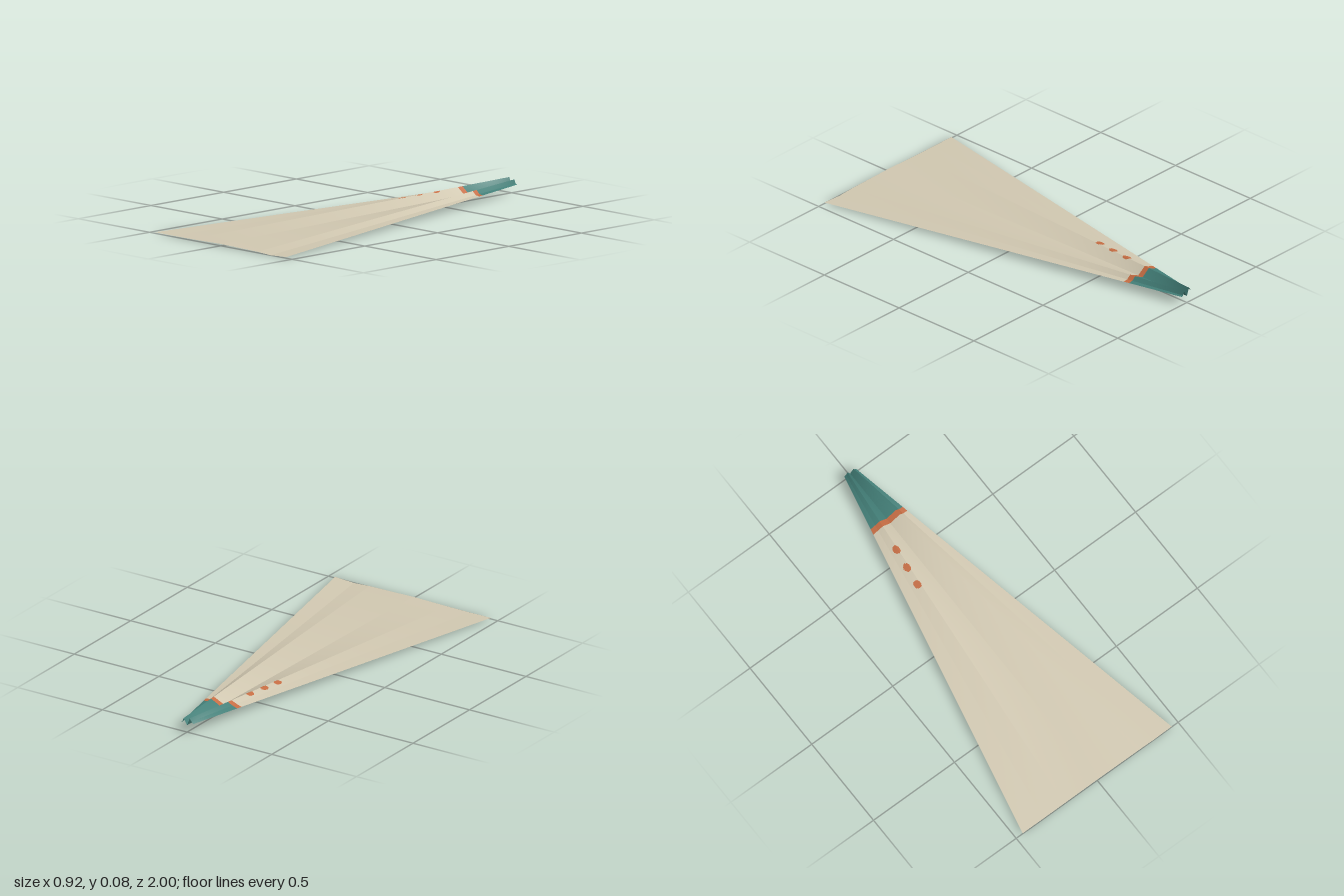
import * as THREE from 'three';

// Fold lines running the length of the sheet:
// [position across the half width, height at the gathered back, height at the wide front]
const FOLDS = [
  [-1, 0.051, 0.006], [-0.72, 0.062, 0.005], [-0.44, 0.077, 0.006], [0, 0.037, 0.009],
  [0.56, 0.070, 0.005], [0.76, 0.050, 0.0], [1, 0.045, 0.006],
];
const SPOTS = [[-0.065, -0.54], [-0.08, -0.435], [-0.092, -0.335]];
const BAND_BACK = -0.705, BAND_FRONT = -0.675;

// Point on the pleated sheet: u runs across (-1..1), z runs back to front
function sheetPoint(u, z) {
  const t = (z + 1) / 2;
  const k = Math.max(1, FOLDS.findIndex((f) => u <= f[0] + 1e-6));
  const [a, b] = [FOLDS[k - 1], FOLDS[k]];
  const f = (u - a[0]) / (b[0] - a[0]);
  const back = THREE.MathUtils.lerp(a[1], b[1], f);
  const front = THREE.MathUtils.lerp(a[2], b[2], f);
  const halfWidth = THREE.MathUtils.lerp(0.036, 0.46, t);
  return [u * halfWidth, THREE.MathUtils.lerp(back, front, t), z];
}

// Part of the sheet between two z values, keeping the cells that pass the test
function sheetGeometry(z0, z1, rows, keep = () => true) {
  const cols = 100, positions = [], index = [];
  for (let i = 0; i <= rows; i++) {
    for (let j = 0; j <= cols; j++) {
      positions.push(...sheetPoint(-1 + (2 * j) / cols, z0 + ((z1 - z0) * i) / rows));
    }
  }
  for (let i = 0; i < rows; i++) {
    for (let j = 0; j < cols; j++) {
      const a = i * (cols + 1) + j, b = a + cols + 1;
      const x = (positions[a * 3] + positions[(b + 1) * 3]) / 2;
      const z = (positions[a * 3 + 2] + positions[b * 3 + 2]) / 2;
      if (keep(x, z)) index.push(a, b, a + 1, a + 1, b, b + 1);
    }
  }
  const geometry = new THREE.BufferGeometry();
  geometry.setAttribute('position', new THREE.Float32BufferAttribute(positions, 3));
  geometry.setIndex(index);
  geometry.computeVertexNormals();
  return geometry;
}

function makeMaterial(name, color) {
  const material = new THREE.MeshStandardMaterial({ color, side: THREE.DoubleSide, flatShading: true });
  material.name = name;
  return material;
}

export function createModel() {
  const group = new THREE.Group();
  group.name = 'pleatedCloth';
  const cream = makeMaterial('cream', 0xd0c7b0);
  const teal = makeMaterial('teal', 0x437f78);
  const orange = makeMaterial('orange', 0xc56c42);

  const add = (name, geometry, material) => {
    const mesh = new THREE.Mesh(geometry, material);
    mesh.name = name;
    group.add(mesh);
  };
  const inSpot = (x, z) => SPOTS.some(([sx, sz]) => Math.hypot((x - sx) / 0.018, (z - sz) / 0.023) < 1);

  // Gathered end and its trim
  add('gatheredEnd', sheetGeometry(-1, BAND_BACK, 16), teal);
  add('trimBand', sheetGeometry(BAND_BACK, BAND_FRONT, 3), orange);

  // Spotted stretch, split cell by cell into cloth and spots
  add('spottedCloth', sheetGeometry(BAND_FRONT, -0.3, 80, (x, z) => !inSpot(x, z)), cream);
  add('spots', sheetGeometry(BAND_FRONT, -0.3, 80, inSpot), orange);

  // Wide plain fan
  add('fanCloth', sheetGeometry(-0.3, 1, 40), cream);
  return group;
}
